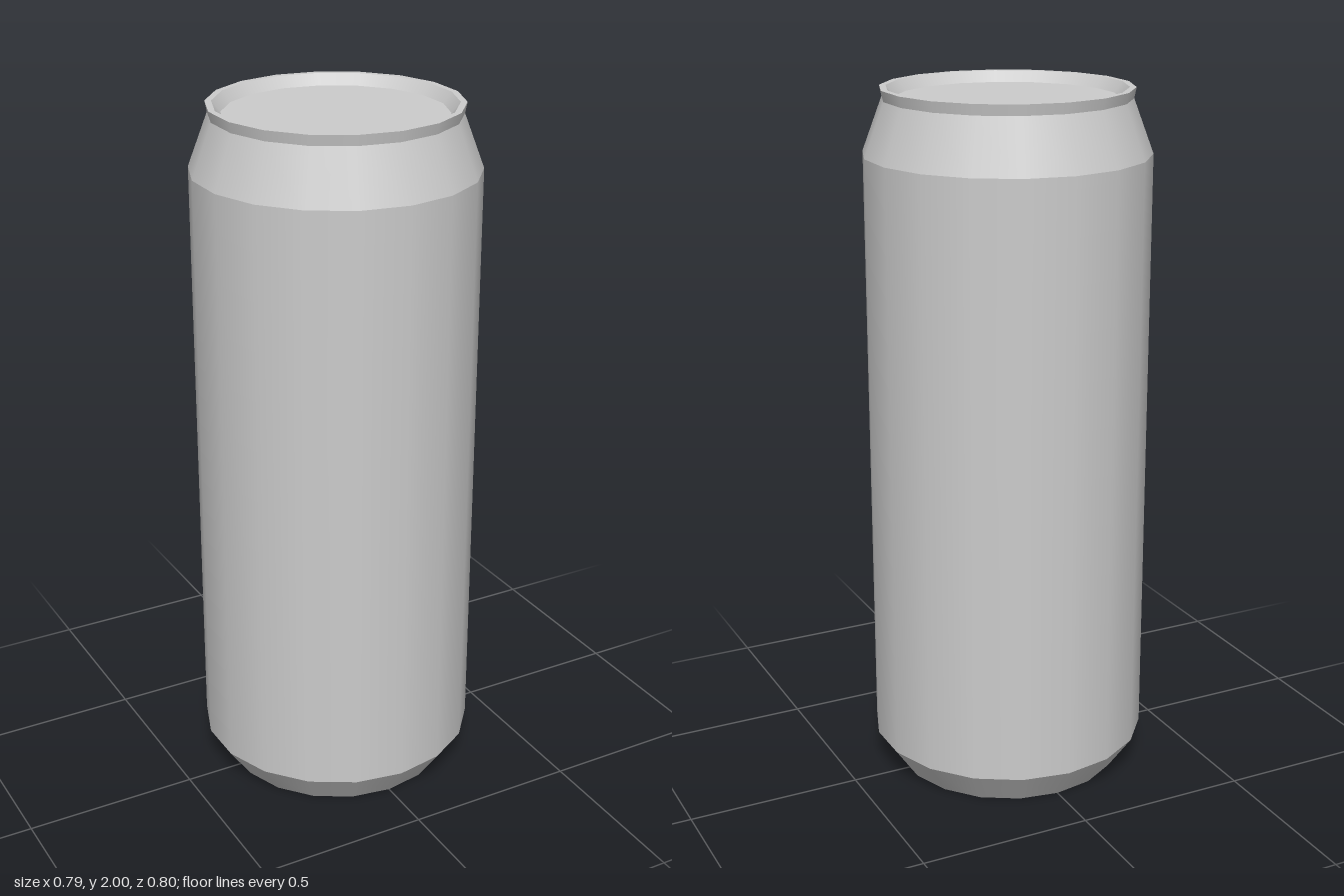
import * as THREE from 'three';

const SIDES = 18;

export function createModel() {
  const can = new THREE.Group();
  can.name = 'can';
  const material = new THREE.MeshStandardMaterial({ color: 0xcccccc });

  // Each band is its own lathe: smooth around, with sharp edges between bands
  const band = (name, r0, y0, r1, y1) => {
    const profile = [new THREE.Vector2(r0, y0), new THREE.Vector2(r1, y1)];
    const mesh = new THREE.Mesh(new THREE.LatheGeometry(profile, SIDES), material);
    mesh.name = name;
    can.add(mesh);
  };

  // Flat base and its chamfer
  band('base', 0, 0, 0.33, 0);
  band('baseChamfer', 0.33, 0, 0.4, 0.1);

  // Wall and tapering shoulder
  band('body', 0.4, 0.1, 0.4, 1.82);
  band('shoulder', 0.4, 1.82, 0.344, 1.97);

  // Rim flares slightly, then drops inward to the sunken lid
  band('rimOutside', 0.344, 1.97, 0.35, 2);
  band('rimTop', 0.35, 2, 0.332, 2);
  band('rimInside', 0.332, 2, 0.308, 1.97);
  band('lid', 0.308, 1.97, 0, 1.97);

  return can;
}
